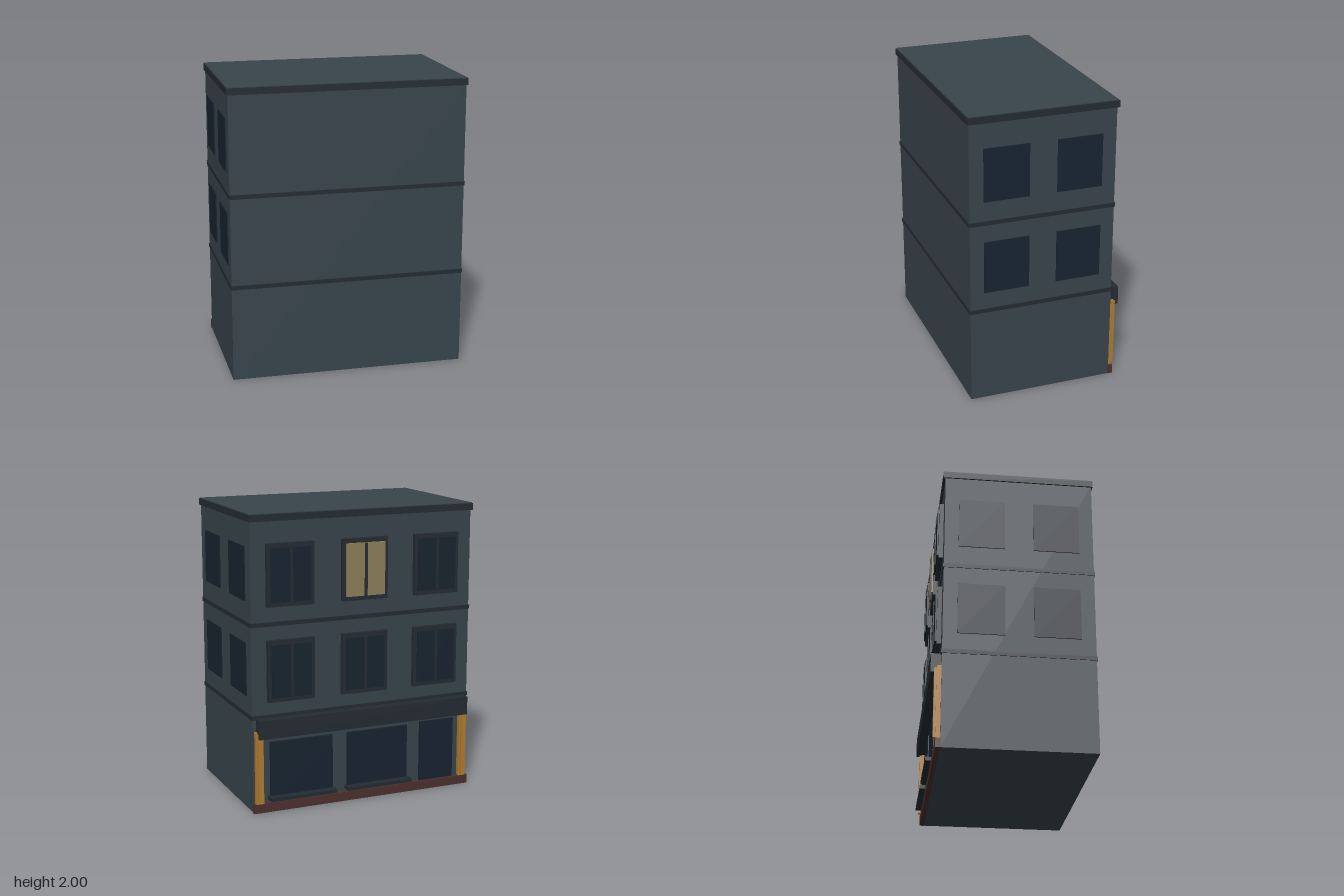
import * as THREE from 'three';

const mat = (color) => new THREE.MeshStandardMaterial({ color });

export function createModel() {
  const model = new THREE.Group();
  model.name = 'shopBuilding';
  const wall = mat(0x38444c), trim = mat(0x242c33), glass = mat(0x182430);
  const gold = mat(0xb07c30), lit = mat(0x8f7f5c), brick = mat(0x4c302c);

  // Box given by its extents on each axis
  function block(name, material, [x0, x1], [y0, y1], [z0, z1], parent = model) {
    const mesh = new THREE.Mesh(new THREE.BoxGeometry(x1 - x0, y1 - y0, z1 - z0), material);
    mesh.position.set((x0 + x1) / 2, (y0 + y1) / 2, (z0 + z1) / 2);
    mesh.name = name;
    parent.add(mesh);
    return mesh;
  }

  // Main volume, floor bands and roof cornice
  block('walls', wall, [-0.8, 0.8], [0, 1.96], [-0.47, 0.53]);
  for (const y of [0.64, 1.262]) {
    block('floorBand', trim, [-0.805, 0.805], [y, y + 0.028], [-0.477, 0.536]);
  }
  block('cornice', trim, [-0.81, 0.81], [1.95, 1.995], [-0.485, 0.54]);
  block('roof', wall, [-0.805, 0.805], [1.99, 2], [-0.48, 0.535]);

  // Flat windows on both side walls
  for (const side of [-1, 1]) {
    for (const y of [0.965, 1.603]) {
      for (const z of [0.28, -0.22]) {
        const x = side * 0.8;
        block('sideWindow', glass, [x - 0.007, x + 0.007], [y - 0.18, y + 0.18], [z - 0.155, z + 0.155]);
      }
    }
  }

  // Framed windows above the shop, the top middle one lit
  for (const y of [0.963, 1.6]) {
    for (const x of [-0.53, 0, 0.53]) {
      const win = new THREE.Group();
      win.name = 'upperWindow';
      model.add(win);
      const pane = x === 0 && y > 1.5 ? lit : glass;
      block('windowFrame', trim, [x - 0.165, x + 0.165], [y - 0.208, y + 0.208], [-0.5, -0.465], win);
      block('windowPane', pane, [x - 0.14, x + 0.14], [y - 0.178, y + 0.178], [-0.511, -0.49], win);
      block('windowMullion', trim, [x - 0.01, x + 0.01], [y - 0.178, y + 0.178], [-0.516, -0.5], win);
    }
  }

  // Shopfront: plinth, sign board, display windows with sills, door
  block('plinth', brick, [-0.803, 0.803], [0, 0.062], [-0.5, -0.465]);
  block('signBoard', trim, [-0.773, 0.773], [0.52, 0.647], [-0.538, -0.465]);
  for (const x of [0.455, -0.105]) {
    block('displayWindow', glass, [x - 0.225, x + 0.225], [0.1, 0.48], [-0.485, -0.465]);
    block('displaySill', trim, [x - 0.24, x + 0.24], [0.08, 0.105], [-0.535, -0.465]);
  }
  block('door', glass, [-0.69, -0.43], [0.062, 0.49], [-0.485, -0.465]);

  // Stepped pilasters at both ends of the shopfront
  for (const side of [-1, 1]) {
    const x = side * 0.76;
    block('pilaster', gold, [x - 0.027, x + 0.027], [0.062, 0.56], [-0.5, -0.465]);
    block('pilasterFace', gold, [x - 0.016, x + 0.016], [0.075, 0.55], [-0.515, -0.49]);
  }
  return model;
}
